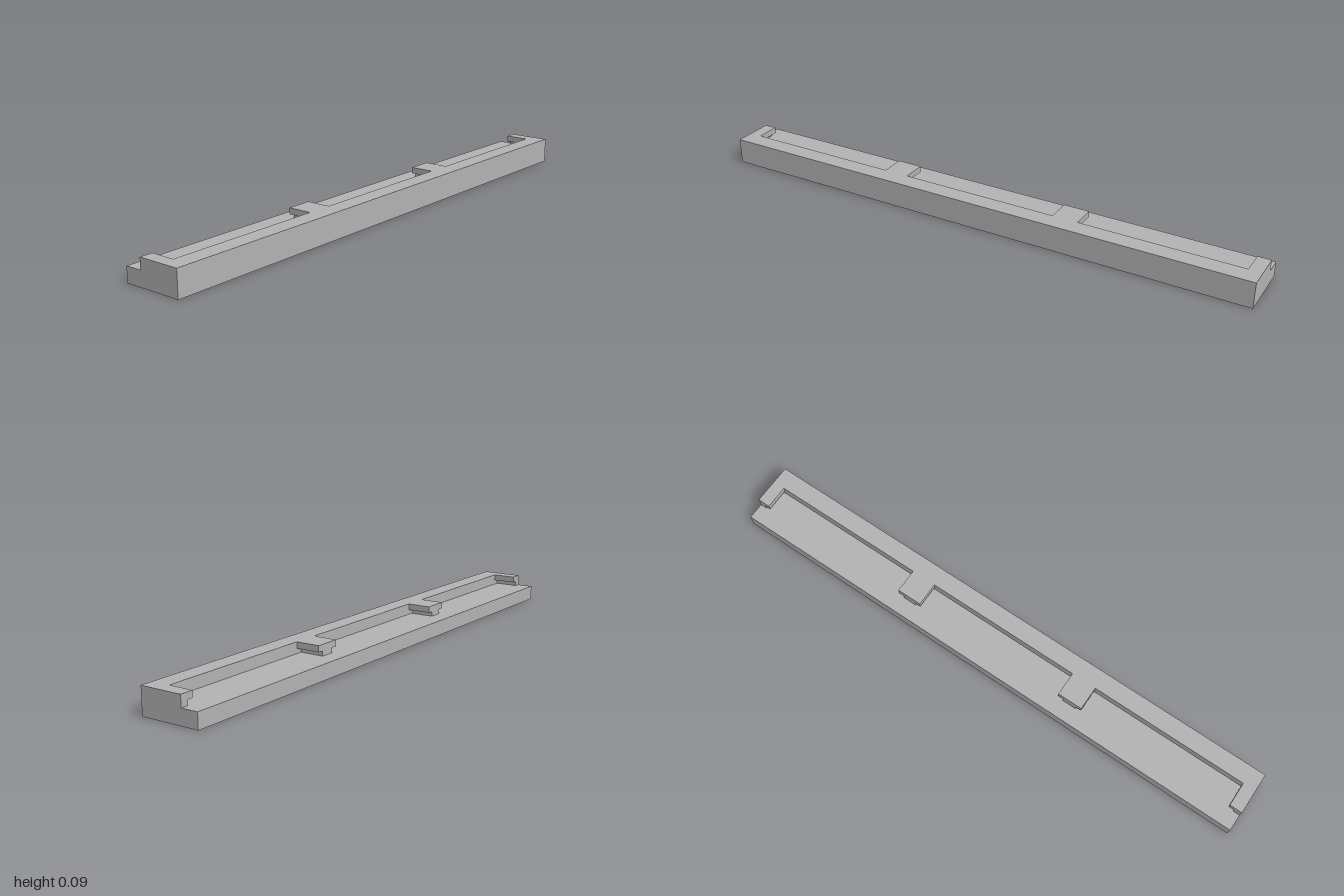
import * as THREE from 'three';

const BACK = 0.106, TIP = -0.046, INNER = 0.041, FLOOR = 0.053, LEDGE = 0.07, TOP = 0.092;
const TAB_CENTRES = [-1, -1 / 3, 1 / 3, 1];

// Comb outline seen from above: a long rail with four tabs, clipped at the ends
function combLayer(halfWidth, y0, y1) {
  const pts = [[BACK, 1], [BACK, -1]];
  for (const c of TAB_CENTRES) {
    const a = Math.max(-1, c - halfWidth), b = Math.min(1, c + halfWidth);
    if (a > -1) pts.push([INNER, a]);
    pts.push([TIP, a], [TIP, b]);
    if (b < 1) pts.push([INNER, b]);
  }
  const shape = new THREE.Shape(pts.map(([x, y]) => new THREE.Vector2(x, y)));
  const geo = new THREE.ExtrudeGeometry(shape, { depth: y1 - y0, bevelEnabled: false });
  geo.rotateX(-Math.PI / 2);
  geo.translate(0, y0, 0);
  return geo;
}

export function createModel() {
  const group = new THREE.Group();
  group.name = 'slottedRail';
  const grey = new THREE.MeshStandardMaterial({ color: 0xb3b3b3 });
  grey.name = 'grey';

  const add = (name, geometry) => {
    const mesh = new THREE.Mesh(geometry, grey);
    mesh.name = name;
    group.add(mesh);
  };

  // Flat base slab
  const base = new THREE.BoxGeometry(BACK * 2, FLOOR, 2);
  base.translate(0, FLOOR / 2, 0);
  add('base', base);

  // Rail with narrow tab stems, then the wider tab heads above them
  add('railAndTabStems', combLayer(0.025, FLOOR, LEDGE));
  add('railTopAndTabHeads', combLayer(0.046, LEDGE, TOP));

  return group;
}
